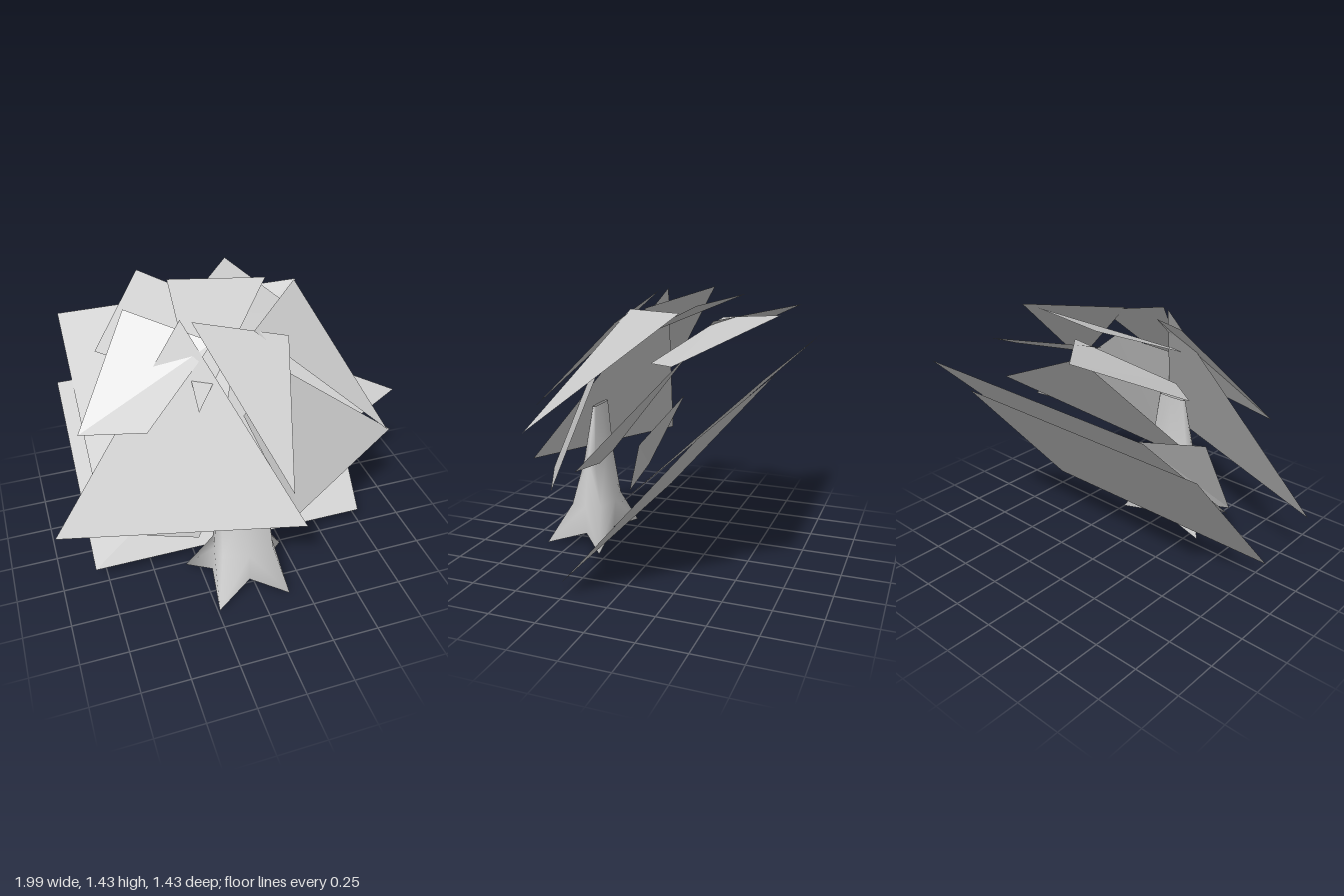
import * as THREE from 'three';

const grey = new THREE.MeshStandardMaterial({ color: 0xcccccc, side: THREE.DoubleSide });
grey.name = 'plainGrey';

// Flat foliage card: a fan of triangles, wound to face up and forward
function card(name, pts) {
  const v = pts.map((p) => new THREE.Vector3(...p));
  const n = new THREE.Vector3().crossVectors(v[1].clone().sub(v[0]), v[2].clone().sub(v[0]));
  if (n.z + n.y < 0) v.reverse();
  const tris = [];
  for (let i = 1; i < v.length - 1; i++) tris.push(v[0], v[i], v[i + 1]);
  const geo = new THREE.BufferGeometry().setFromPoints(tris);
  geo.computeVertexNormals();
  const mesh = new THREE.Mesh(geo, grey);
  mesh.name = name;
  return mesh;
}

// Trunk: eight-sided rings joined in loops, the lowest one flared into four roots
function trunk() {
  const ring = (y, x0, x1, z0, z1) => {
    const cx = (x0 + x1) / 2, cz = (z0 + z1) / 2;
    const ix = (x1 - x0) * 0.06, iz = (z1 - z0) * 0.12;
    return [
      [x0 + ix, y, z1 - iz], [cx, y, z1], [x1 - ix, y, z1 - iz], [x1, y, cz],
      [x1 - ix, y, z0 + iz], [cx, y, z0], [x0 + ix, y, z0 + iz], [x0, y, cz],
    ];
  };
  const roots = [
    [-0.24, 0, 0.64], [-0.04, 0.07, 0.54], [0.155, 0, 0.64], [0.12, 0.075, 0.41],
    [0.235, 0.015, 0.28], [-0.04, 0.07, 0.31], [-0.325, 0.015, 0.28], [-0.21, 0.075, 0.41],
  ];
  const rings = [
    roots,
    ring(0.235, -0.2, 0.12, 0.3, 0.53),
    ring(0.5, -0.18, 0.1, 0.355, 0.44),
    ring(0.8, -0.13, 0.05, 0.37, 0.395),
  ];
  const index = [];
  for (let r = 0; r < rings.length - 1; r++) {
    for (let i = 0; i < 8; i++) {
      const a = r * 8 + i, b = r * 8 + ((i + 1) % 8);
      // diagonals meet at the middle of each side, creasing the roots
      if (i % 2) index.push(a, b, a + 8, b, b + 8, a + 8);
      else index.push(a, b, b + 8, a, b + 8, a + 8);
    }
  }
  const geo = new THREE.BufferGeometry();
  geo.setAttribute('position', new THREE.Float32BufferAttribute(rings.flat(2), 3));
  geo.setIndex(index);
  geo.computeVertexNormals();
  const mesh = new THREE.Mesh(geo, grey);
  mesh.name = 'trunk';
  return mesh;
}

export function createModel() {
  const tree = new THREE.Group();
  tree.name = 'tree';
  tree.add(trunk());

  // Two large sloping cards behind the crown
  tree.add(card('lowerBackCard', [
    [-0.815, 0.09, 0.24], [0.74, 0.09, 0.24], [0.73, 0.88, -0.44], [-0.825, 0.88, -0.44]]));
  tree.add(card('upperBackCard', [
    [-0.74, 0.51, -0.05], [0.675, 0.51, -0.045], [0.665, 1.15, -0.71], [-0.75, 1.15, -0.715]]));

  // Large front foliage
  tree.add(card('frontRightLeaf', [[-1, 0.43, 0.295], [0.21, 0.515, 0.68], [-0.25, 1.43, 0.055]]));
  tree.add(card('frontLeftLeaf', [
    [0.195, 0.475, 0.56], [0.9, 0.615, 0.195], [0.235, 1.15, 0.215], [-0.04, 1.055, 0.395]]));
  tree.add(card('frontCentreLeaf', [[-0.2, 1.425, 0.085], [0.11, 0.785, 0.715], [0.28, 1.3, 0.145]]));

  // Side foliage
  tree.add(card('upperRightLeaf', [
    [-0.81, 0.96, 0.18], [-0.485, 0.96, 0.265], [-0.11, 1.33, 0.14], [-0.485, 1.425, -0.14]]));
  tree.add(card('upperLeftLeaf', [[0.1, 1.35, 0.135], [0.735, 0.82, 0.43], [0.465, 1.385, -0.26]]));
  tree.add(card('lowerLeftLeaf', [[-0.22, 0.395, 0.45], [0.99, 0.755, 0.025], [0.12, 1.15, -0.2]]));
  tree.add(card('lowerRightLeaf', [
    [-0.53, 0.305, 0.285], [-0.25, 0.22, 0.3], [0, 0.59, 0.135], [-0.52, 0.77, 0.05]]));

  // Crown top
  tree.add(card('topLeaf', [[-0.25, 1.095, 0.36], [0.315, 1.405, -0.295], [-0.195, 1.42, -0.4]]));

  // Mirrored pair at the back of the crown
  const cx = -0.043;
  for (const s of [-1, 1]) {
    tree.add(card(s < 0 ? 'backRightLeaf' : 'backLeftLeaf', [
      [cx + s * 0.255, 1.365, -0.675], [cx + s * 0.585, 1.15, -0.25],
      [cx + s * 0.36, 1.115, -0.06], [cx - s * 0.09, 1.3, -0.295]]));
  }
  return tree;
}
